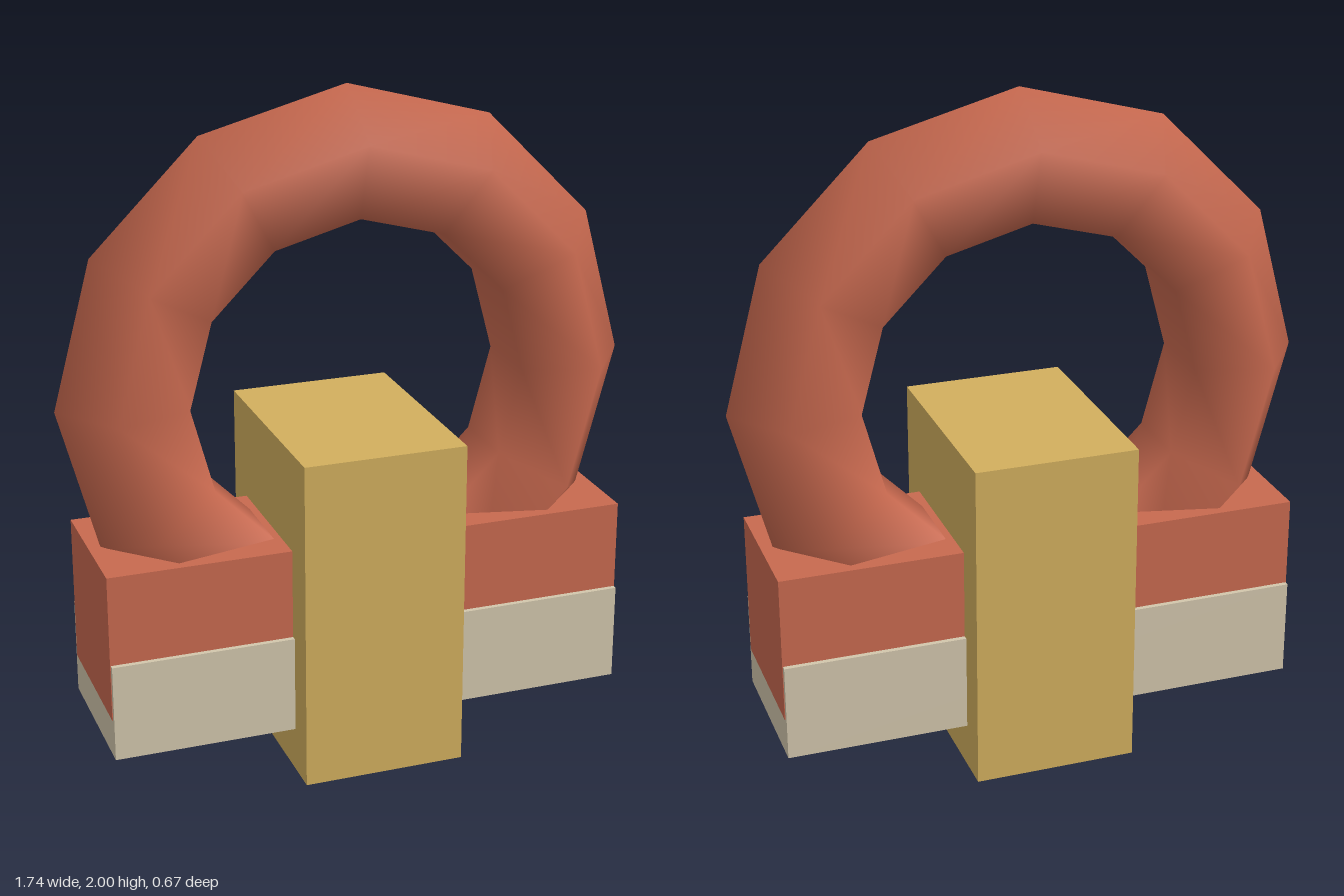
import * as THREE from 'three';

const material = (name, color) => {
  const m = new THREE.MeshStandardMaterial({ color });
  m.name = name;
  return m;
};

export function createModel() {
  const group = new THREE.Group();
  group.name = 'ringOnBlocks';
  const red = material('clay red', 0xc8694f);
  const gold = material('dull gold', 0xd2af5e);
  const stone = material('pale stone', 0xd2c6ac);

  const add = (name, geometry, mat, y) => {
    const mesh = new THREE.Mesh(geometry, mat);
    mesh.name = name;
    mesh.position.y = y;
    group.add(mesh);
  };
  // Centred block given by half width, half depth, bottom and top
  const block = (name, mat, hx, hz, y0, y1) =>
    add(name, new THREE.BoxGeometry(hx * 2, y1 - y0, hz * 2), mat, (y0 + y1) / 2);

  // Upright ring, five-sided in section, sunk into the crossbar
  add('ring', new THREE.TorusGeometry(0.67, 0.2, 5, 12), red, 1.13);

  // Crossbar, its end faces just proud of the sleeve below
  block('crossbar', red, 0.792, 0.22, 0.255, 0.703);
  block('lowerSleeve', stone, 0.79, 0.235, 0.135, 0.43);

  // Upright block through the middle
  block('centreBlock', gold, 0.245, 0.335, 0, 1.005);

  return group;
}
